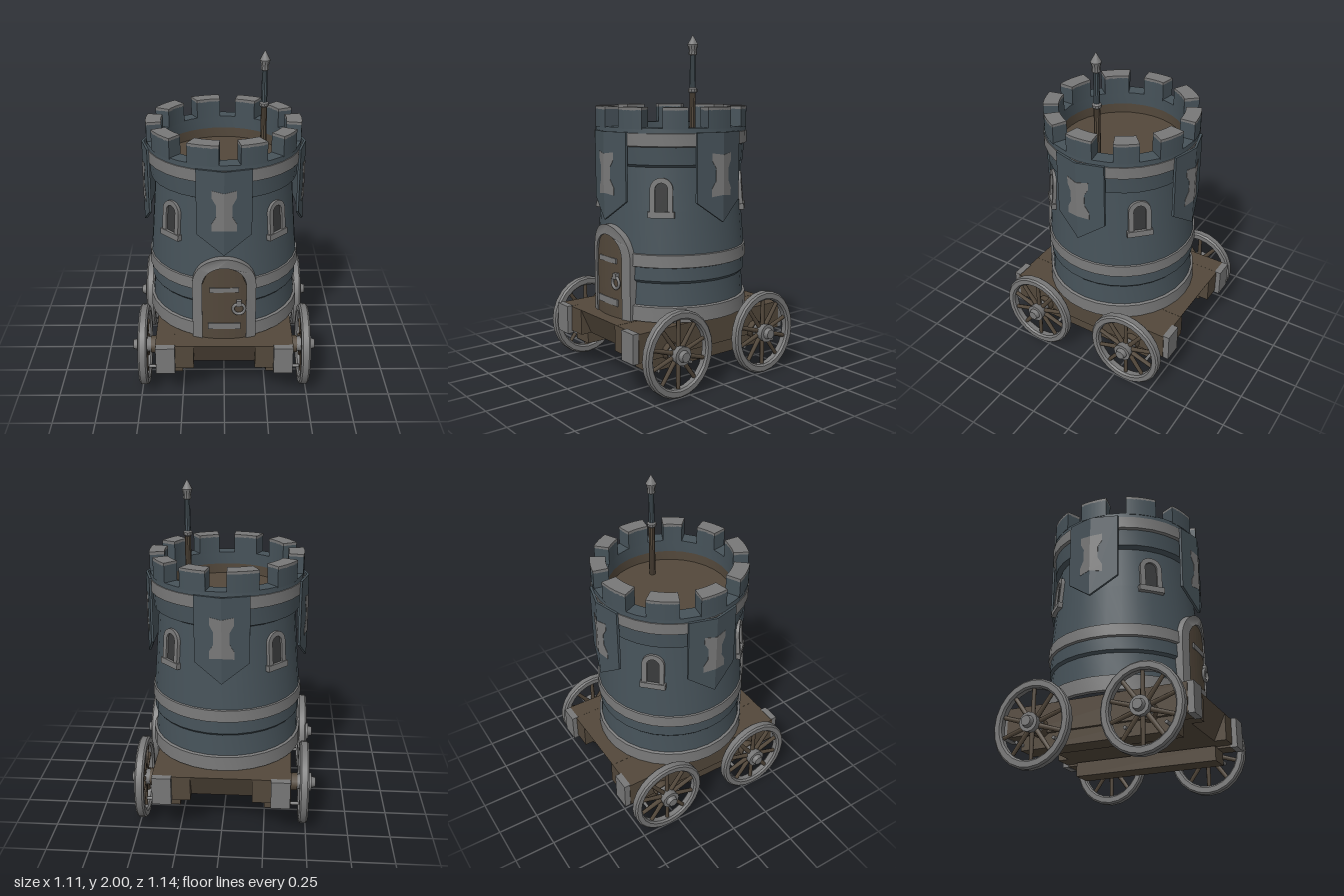
import * as THREE from 'three';
import { toCreasedNormals } from 'three/addons/utils/BufferGeometryUtils.js';

const mat = (name, color) => {
  const m = new THREE.MeshStandardMaterial({ color });
  m.name = name;
  return m;
};

export function createModel() {
  const slate = mat('slate', 0x465259);
  const stone = mat('pale stone', 0x787878);
  const wood = mat('wood', 0x53483b);
  const dark = mat('dark opening', 0x38393a);
  const root = new THREE.Group();
  root.name = 'rollingTower';

  const group = (name, parent = root) => {
    const g = new THREE.Group();
    g.name = name;
    parent.add(g);
    return g;
  };
  const add = (parent, name, geo, material, x = 0, y = 0, z = 0) => {
    const m = new THREE.Mesh(geo, material);
    m.name = name;
    m.position.set(x, y, z);
    parent.add(m);
    return m;
  };
  const box = (p, name, m, w, h, d, x, y, z) => add(p, name, new THREE.BoxGeometry(w, h, d), m, x, y, z);
  const latheGeo = (pts, seg) => toCreasedNormals(
    new THREE.LatheGeometry(pts.map(([r, y]) => new THREE.Vector2(r, y)), seg), 0.6);
  const lathe = (p, name, m, pts, seg = 32) => add(p, name, latheGeo(pts, seg), m);
  const polygon = (pts) => new THREE.Shape(pts.map(([x, y]) => new THREE.Vector2(x, y)));
  // Extrusion whose depth falls back by a rule of x
  const extrude = (shape, depth, fall = () => 0) => {
    const g = new THREE.ExtrudeGeometry(shape, { depth, bevelEnabled: false, curveSegments: 12 });
    const v = g.attributes.position;
    for (let i = 0; i < v.count; i++) v.setZ(i, v.getZ(i) - fall(v.getX(i)));
    return toCreasedNormals(g, 0.6);
  };
  const wrap = (x) => 1.1 * x * x;
  const fold = (x) => 0.28 * Math.abs(x);

  // Round-topped panel and the matching open-bottomed frame
  const archPanel = (r, h) => {
    const s = new THREE.Shape();
    s.moveTo(-r, 0).lineTo(r, 0).lineTo(r, h - r);
    s.absarc(0, h - r, r, 0, Math.PI, false);
    return s;
  };
  const archFrame = (R, r, spring) => {
    const s = new THREE.Shape();
    s.moveTo(r, 0).lineTo(R, 0).lineTo(R, spring);
    s.absarc(0, spring, R, 0, Math.PI, false);
    s.lineTo(-R, 0).lineTo(-r, 0).lineTo(-r, spring);
    s.absarc(0, spring, r, Math.PI, 0, true);
    return s;
  };

  // Tower walls, banded from the bottom up
  const tower = group('tower');
  lathe(tower, 'baseBand', stone, [[0.44, 0.385], [0.46, 0.39], [0.457, 0.475], [0.43, 0.485]]);
  lathe(tower, 'lowerWall', slate, [[0.443, 0.47], [0.433, 0.61], [0.446, 0.625], [0.442, 0.71]]);
  lathe(tower, 'middleBand', stone, [[0.43, 0.695], [0.457, 0.705], [0.453, 0.775], [0.43, 0.785]]);
  lathe(tower, 'upperWall', slate, [[0.445, 0.775], [0.425, 1.02], [0.406, 1.265], [0.434, 1.28], [0.44, 1.39]]);
  lathe(tower, 'topBand', stone, [[0.43, 1.375], [0.456, 1.385], [0.456, 1.455], [0.44, 1.46]]);
  lathe(tower, 'parapet', slate, [[0.452, 1.455], [0.45, 1.485], [0.365, 1.485], [0.365, 1.41]]);
  lathe(tower, 'innerLining', wood, [[0.365, 1.41], [0.365, 1.35]]);
  add(tower, 'roofFloor', new THREE.CylinderGeometry(0.37, 0.37, 0.02, 32), wood, 0, 1.34, 0);

  // Battlements, set between slightly uneven gaps
  const half = [18, 51, 86, 124, 162];
  const gaps = [...half, ...half.map((a) => 360 - a).reverse(), 378];
  const battlements = group('battlements');
  for (let i = 0; i < 10; i++) {
    const a = THREE.MathUtils.degToRad(gaps[i] + 7.5);
    const b = THREE.MathUtils.degToRad(gaps[i + 1] - 7.5);
    const s = new THREE.Shape();
    s.absarc(0, 0, 0.452, a, b, false);
    s.absarc(0, 0, 0.363, b, a, true);
    add(battlements, 'merlon', extrude(s, 0.105).rotateX(-Math.PI / 2), slate, 0, 1.478, 0);
    add(battlements, 'merlonCap', extrude(s, 0.018).rotateX(-Math.PI / 2), stone, 0, 1.58, 0);
  }

  // Banners folded along their middle, one on each side
  const folded = (p, name, m, pts, depth, z) => {
    for (const side of [-1, 1]) {
      add(p, name, extrude(polygon(pts.map(([x, y]) => [x * side, y])), depth, fold), m, 0, 0, z);
    }
  };
  for (let i = 0; i < 4; i++) {
    const banner = group('banner');
    banner.rotation.y = i * Math.PI / 2;
    folded(banner, 'bannerCloth', slate, [[0, 0.955], [0.155, 1.07], [0.155, 1.46], [0, 1.46]], 0.014, 0.468);
    folded(banner, 'bannerEmblem', stone,
      [[0, 1.11], [0.07, 1.1], [0.07, 1.145], [0.045, 1.19], [0.045, 1.26], [0.068, 1.3], [0.068, 1.345], [0, 1.335]],
      0.005, 0.479);
  }

  // Arched windows on the diagonals
  for (let i = 0; i < 4; i++) {
    const turn = group('window');
    turn.rotation.y = Math.PI / 4 + i * Math.PI / 2;
    const w = group('windowParts', turn);
    w.position.set(0, 1.0, 0.396);
    w.rotation.x = -0.08;
    add(w, 'windowFrame', extrude(archFrame(0.065, 0.036, 0.142), 0.045), stone);
    add(w, 'windowOpening', extrude(archPanel(0.039, 0.18), 0.033), dark);
    box(w, 'windowSill', stone, 0.15, 0.035, 0.055, 0, 0, 0.024);
  }

  // Door of upright planks, wrapped to the wall
  const door = group('door');
  door.position.y = 0.385;
  add(door, 'doorFrame', extrude(archFrame(0.185, 0.128, 0.355), 0.1, wrap), stone, 0, 0, 0.373);
  const arch = (x) => 0.355 + Math.sqrt(Math.max(0, 0.13 ** 2 - x * x));
  for (let i = 0; i < 8; i++) {
    const x0 = -0.13 + i * 0.0325;
    const x1 = x0 + 0.0325;
    add(door, 'doorPlank', extrude(polygon([[x0, 0], [x1, 0], [x1, arch(x1)], [x0, arch(x0)]]), 0.08, wrap), wood, 0, 0, 0.383);
  }
  box(door, 'upperStrap', stone, 0.17, 0.03, 0.009, 0.0, 0.335, 0.461);
  box(door, 'lowerStrap', stone, 0.19, 0.04, 0.009, 0.0, 0.09, 0.461);
  add(door, 'doorRing', new THREE.TorusGeometry(0.034, 0.009, 8, 16), stone, 0.085, 0.212, 0.467);
  box(door, 'ringMount', stone, 0.028, 0.035, 0.025, 0.085, 0.25, 0.465);

  // Flagpole
  const pole = group('flagpole');
  pole.position.set(0.23, 0, 0.02);
  lathe(pole, 'poleFoot', wood, [[0.019, 1.34], [0.018, 1.69]], 10);
  lathe(pole, 'poleRing', stone, [[0.016, 1.67], [0.027, 1.68], [0.027, 1.695], [0.016, 1.705]], 10);
  lathe(pole, 'poleShaft', slate, [[0.018, 1.69], [0.016, 1.9]], 10);
  lathe(pole, 'poleTip', stone, [[0.016, 1.885], [0.024, 1.89], [0.022, 1.915], [0.031, 1.945], [0, 2]], 10);

  // Wagon bed with undercut ends, capped side beams and lower runners
  const wagon = group('wagon');
  const bed = polygon([[-0.47, 0.232], [0.47, 0.232], [0.54, 0.385], [-0.54, 0.385]]);
  add(wagon, 'bed', extrude(bed, 0.4).rotateY(Math.PI / 2), wood, -0.2);
  for (const sx of [-1, 1]) {
    box(wagon, 'bedSide', wood, 0.12, 0.152, 1.08, sx * 0.24, 0.308, 0);
    box(wagon, 'sideBeam', wood, 0.11, 0.165, 1.07, sx * 0.35, 0.302, 0);
    box(wagon, 'runner', wood, 0.135, 0.085, 0.9, sx * 0.318, 0.183, 0);
    for (const sz of [-1, 1]) {
      box(wagon, 'beamCap', stone, 0.112, 0.172, 0.04, sx * 0.345, 0.302, sz * 0.55);
    }
  }

  // Wheels
  const rimProfile = [[0.2, -0.016], [0.21, -0.027], [0.24, -0.027], [0.25, -0.017],
    [0.25, 0.017], [0.24, 0.027], [0.21, 0.027], [0.2, 0.016], [0.2, -0.016]];
  const alongX = (p, name, m, r0, r1, x0, x1, y = 0, z = 0, seg = 12) => add(p, name,
    new THREE.CylinderGeometry(r1, r0, x1 - x0, seg).rotateZ(-Math.PI / 2), m, (x0 + x1) / 2, y, z);
  for (const sx of [-1, 1]) {
    for (const sz of [-1, 1]) {
      const wheel = group('wheel');
      wheel.position.set(0, 0.25, sz * 0.323);
      wheel.rotation.y = sx > 0 ? 0 : Math.PI;
      const rim = add(wheel, 'rim', latheGeo(rimProfile, 24).rotateZ(-Math.PI / 2), stone, 0.482);
      rim.scale.z = 0.935;
      for (let i = 0; i < 10; i++) {
        const spoke = add(wheel, 'spoke', new THREE.CylinderGeometry(0.012, 0.015, 0.18, 6).translate(0, 0.115, 0), wood, 0.482);
        spoke.rotation.x = i * Math.PI / 5;
      }
      alongX(wheel, 'axle', wood, 0.052, 0.052, 0.38, 0.446);
      alongX(wheel, 'hub', stone, 0.045, 0.055, 0.446, 0.53);
      alongX(wheel, 'hubCap', stone, 0.035, 0.028, 0.53, 0.555);
      for (const dz of [-0.115, 0.115]) {
        alongX(wheel, 'peg', stone, 0.01, 0.01, 0.39, 0.455, -0.08, dz, 8);
      }
    }
  }
  return root;
}
